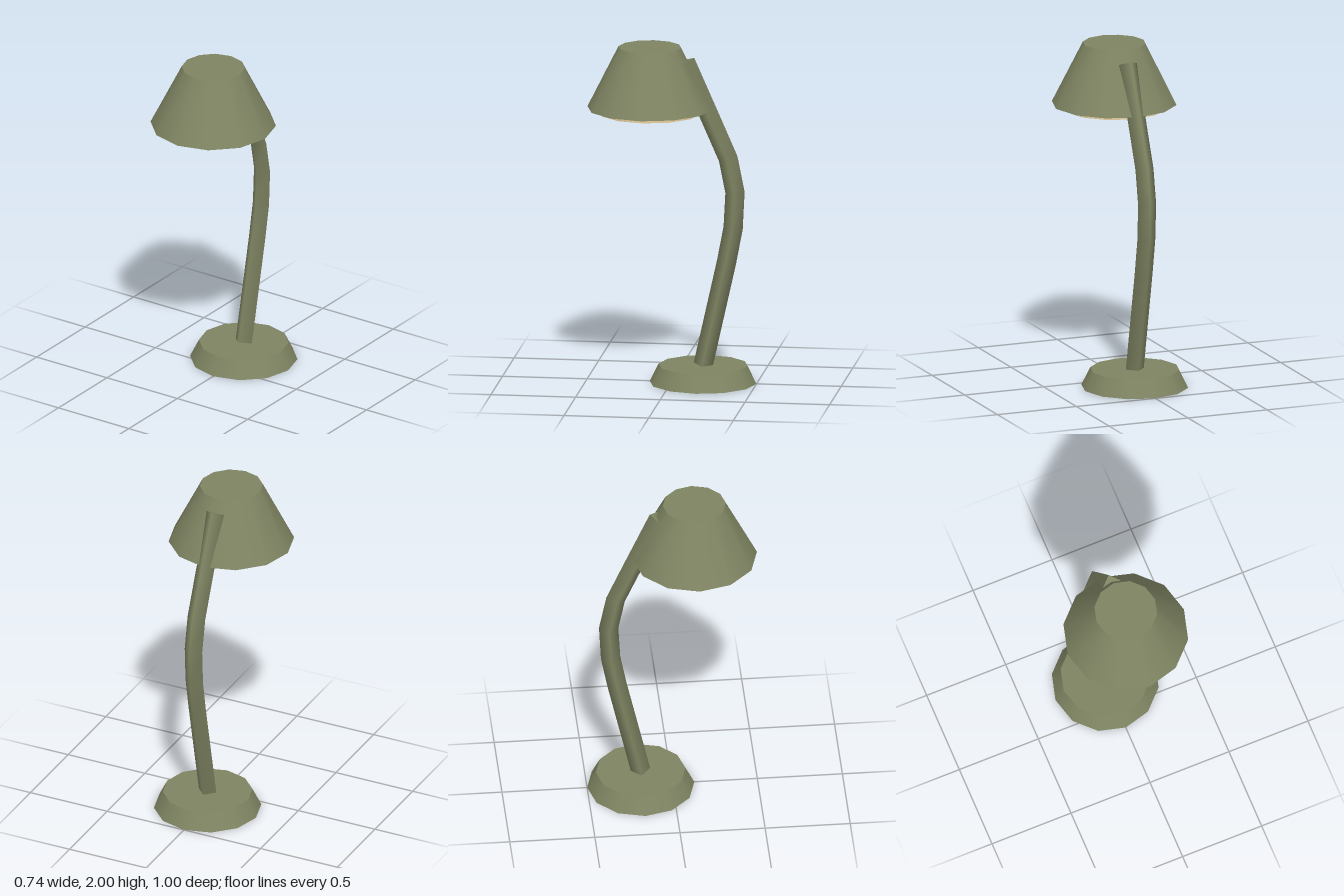
import * as THREE from 'three';

const SIDES = 12;
const STEM_RADIUS = 0.057;
// Stem centre line as [z, y], from base to shade
const STEM_PATH = [
  [-0.185, 0.105], [-0.323, 0.725], [-0.362, 0.93], [-0.373, 1.143],
  [-0.333, 1.344], [-0.243, 1.55], [-0.08, 1.92],
].map(([z, y]) => new THREE.Vector3(0, y, z));

// Capped cone section standing between two heights
function frustum(name, material, rTop, rBottom, y0, y1, z) {
  const mesh = new THREE.Mesh(
    new THREE.CylinderGeometry(rTop, rBottom, y1 - y0, SIDES), material);
  mesh.position.set(0, (y0 + y1) / 2, z);
  mesh.name = name;
  return mesh;
}

// Four-sided cylinder whose rings are carried onto the stem path
function bentStem() {
  const last = STEM_PATH.length - 1;
  const geometry = new THREE.CylinderGeometry(STEM_RADIUS, STEM_RADIUS, last, 4, last);
  const { position, normal } = geometry.attributes;
  const up = new THREE.Vector3(0, 1, 0);
  const p = new THREE.Vector3();
  const n = new THREE.Vector3();
  const direction = (a, b) => STEM_PATH[b].clone().sub(STEM_PATH[a]).normalize();
  for (let i = 0; i < position.count; i++) {
    p.fromBufferAttribute(position, i);
    n.fromBufferAttribute(normal, i);
    const ring = Math.round(p.y + last / 2);
    const before = direction(Math.max(ring - 1, 0), Math.max(ring, 1));
    const after = direction(Math.min(ring, last - 1), Math.min(ring + 1, last));
    const turn = new THREE.Quaternion().setFromUnitVectors(up, before.add(after).normalize());
    p.setY(0).applyQuaternion(turn).add(STEM_PATH[ring]);
    n.applyQuaternion(turn);
    position.setXYZ(i, p.x, p.y, p.z);
    normal.setXYZ(i, n.x, n.y, n.z);
  }
  return geometry;
}

export function createModel() {
  const lamp = new THREE.Group();
  lamp.name = 'deskLamp';
  const olive = new THREE.MeshStandardMaterial({ color: 0x7e8462 });
  const cream = new THREE.MeshStandardMaterial({ color: 0xe8cfa0 });

  // Foot
  lamp.add(frustum('base', olive, 0.263, 0.315, 0, 0.105, -0.185));

  // Curved stem
  const stem = new THREE.Mesh(bentStem(), olive);
  stem.name = 'stem';
  lamp.add(stem);

  // Shade with the light disc just below its rim
  lamp.add(frustum('shade', olive, 0.185, 0.368, 1.635, 2, 0.13));
  lamp.add(frustum('lightDisc', cream, 0.302, 0.302, 1.608, 1.66, 0.13));
  return lamp;
}
